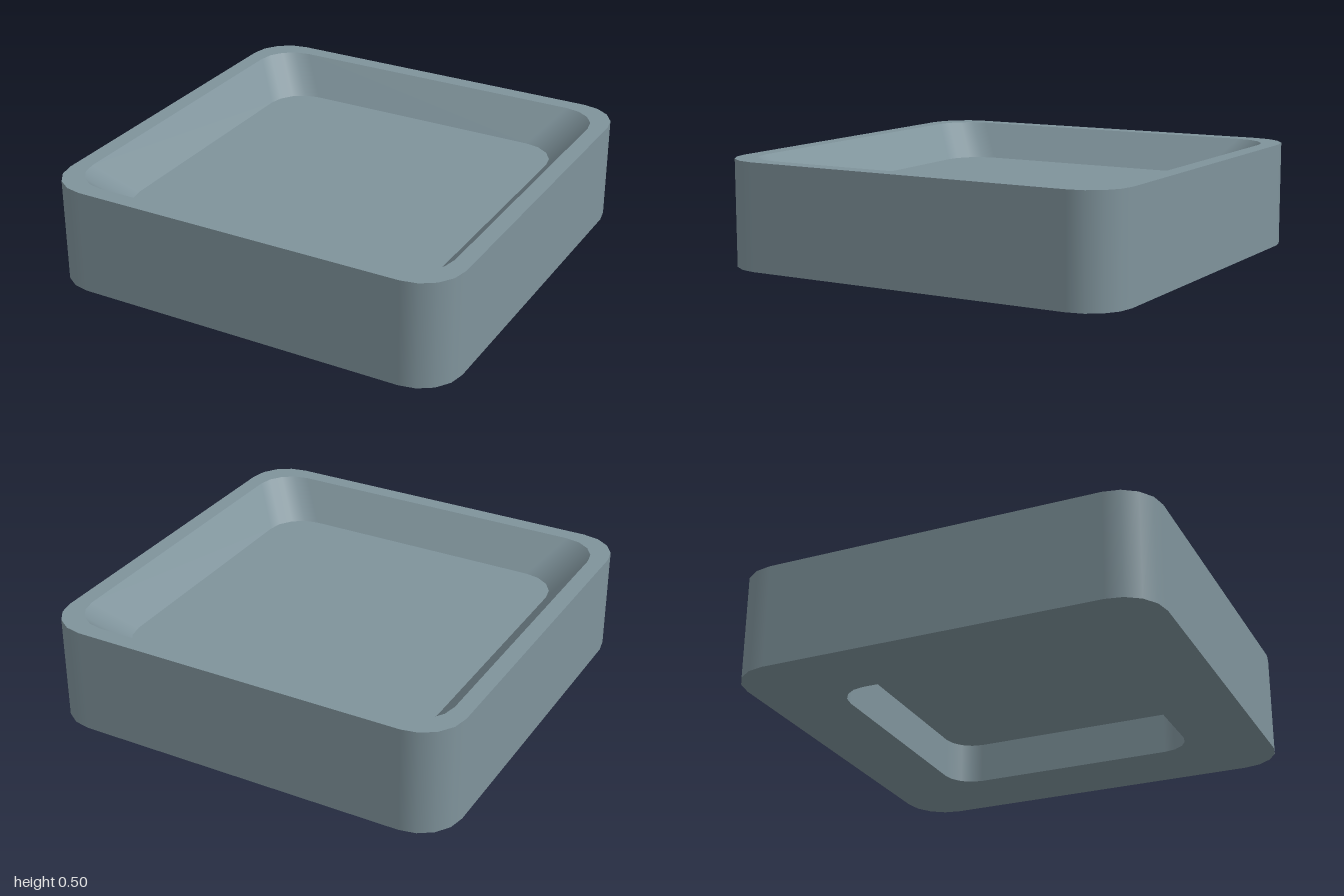
import * as THREE from 'three';

const CORNER_STEPS = 4;

// Rounded square outline: counter-clockwise points with their outward normals
function outline(half, radius) {
  const ring = [];
  for (let corner = 0; corner < 4; corner++) {
    const mid = (corner + 0.5) * Math.PI / 2;
    const cx = Math.sign(Math.cos(mid)) * (half - radius);
    const cy = Math.sign(Math.sin(mid)) * (half - radius);
    for (let i = 0; i <= CORNER_STEPS; i++) {
      const a = (corner + i / CORNER_STEPS) * Math.PI / 2;
      const nx = Math.cos(a), ny = Math.sin(a);
      ring.push({ x: cx + nx * radius, y: cy + ny * radius, nx, ny });
    }
  }
  return ring;
}

// Wall between two outlines; dir is 1 for outward facing, -1 for inward facing
function wall(low, lowY, high, highY, dir) {
  const positions = [], normals = [], index = [];
  const n = low.length;
  const rise = highY - lowY;
  const spread = high[0].x - low[0].x;
  for (let i = 0; i < n; i++) {
    const { nx, ny } = low[i];
    const normal = new THREE.Vector3(nx * rise, -spread, -ny * rise).normalize().multiplyScalar(dir);
    positions.push(low[i].x, lowY, -low[i].y, high[i].x, highY, -high[i].y);
    normals.push(...normal.toArray(), ...normal.toArray());
    const a = 2 * i, b = 2 * ((i + 1) % n);
    if (dir > 0) index.push(a, b, b + 1, a, b + 1, a + 1);
    else index.push(a, b + 1, b, a, a + 1, b + 1);
  }
  const geometry = new THREE.BufferGeometry();
  geometry.setAttribute('position', new THREE.Float32BufferAttribute(positions, 3));
  geometry.setAttribute('normal', new THREE.Float32BufferAttribute(normals, 3));
  geometry.setIndex(index);
  return geometry;
}

// Flat face at height y, optionally with a hole, facing up (1) or down (-1)
function face(ring, y, facing, hole) {
  const toPoints = (r) => r.map((p) => new THREE.Vector2(p.x, p.y));
  const shape = new THREE.Shape(toPoints(ring));
  if (hole) shape.holes.push(new THREE.Path(toPoints(hole)));
  return new THREE.ShapeGeometry(shape).rotateX(-facing * Math.PI / 2).translate(0, y, 0);
}

export function createModel() {
  const group = new THREE.Group();
  group.name = 'tray';
  const slate = new THREE.MeshStandardMaterial({ color: 0x7f939b });
  slate.name = 'slateGrey';

  const add = (name, geometry) => {
    const mesh = new THREE.Mesh(geometry, slate);
    mesh.name = name;
    group.add(mesh);
  };

  const height = 0.5, floorY = 0.333, recessY = 0.2;
  const outer = outline(1, 0.2);
  const rimEdge = outline(0.92, 0.18);
  const floorEdge = outline(0.775, 0.18);
  const recessEdge = outline(0.637, 0.14);

  // Outer body and rim
  add('outerWall', wall(outer, 0, outer, height, 1));
  add('rim', face(outer, height, 1, rimEdge));

  // Sloping basin
  add('basinSlope', wall(floorEdge, floorY, rimEdge, height, -1));
  add('basinFloor', face(floorEdge, floorY, 1));

  // Underside with its recess
  add('underside', face(outer, 0, -1, recessEdge));
  add('recessWall', wall(recessEdge, 0, recessEdge, recessY, -1));
  add('recessCeiling', face(recessEdge, recessY, -1));

  return group;
}
